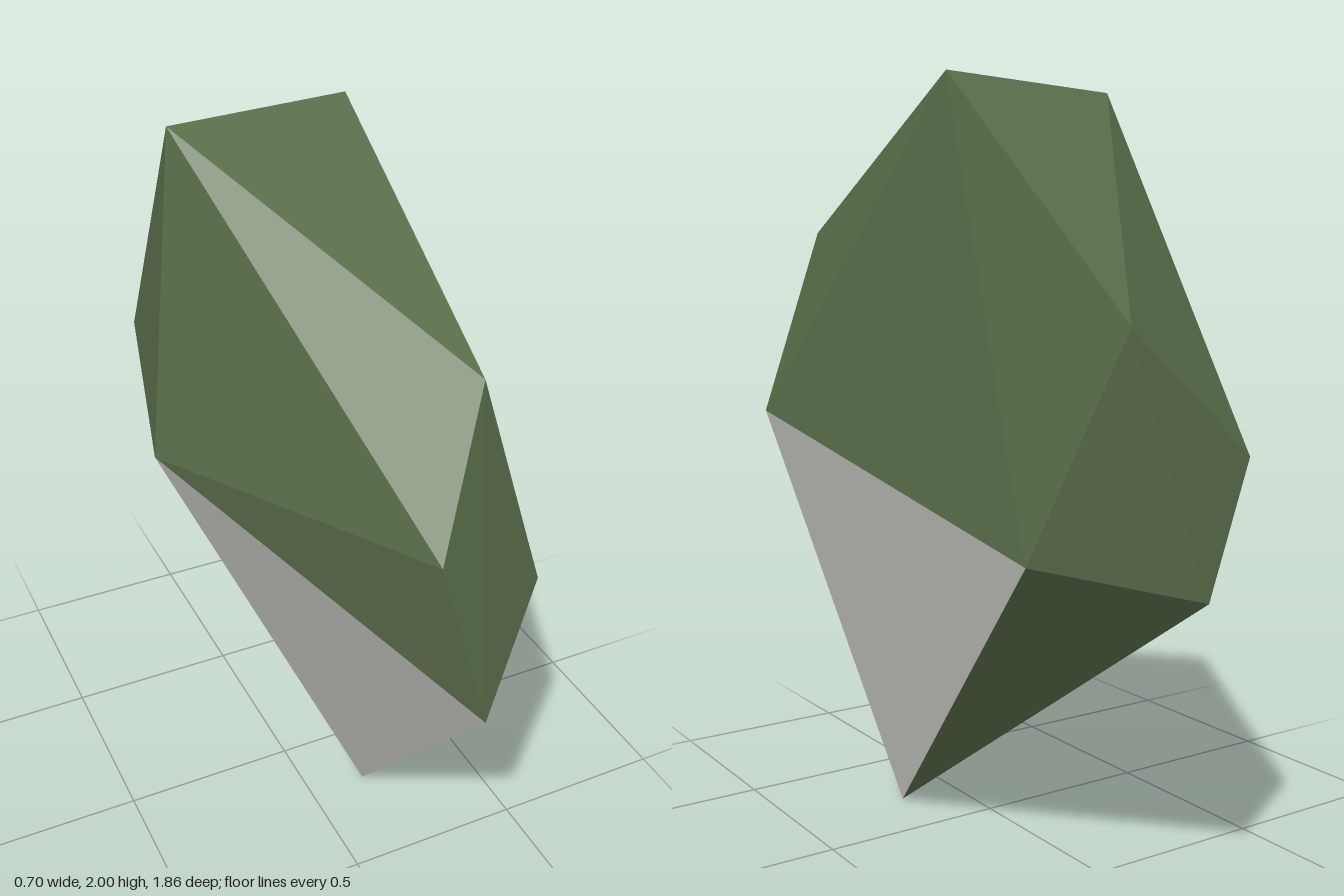
import * as THREE from 'three';

// Corner points of the faceted stone
const P = {
  tip: [0.17, 0, 0.2],
  frontLow: [0.08, 0.89, 0.93],
  frontLeft: [0.33, 1.09, 0.73],
  frontMid: [-0.01, 1.3, 0.84],
  frontHigh: [0.19, 1.62, 0.64],
  topLeft: [0.26, 2, -0.2],
  topRight: [-0.21, 1.97, -0.23],
  sideRight: [-0.35, 1.16, -0.05],
  backLeft: [0.35, 0.87, -0.67],
  backHigh: [0.23, 1.41, -0.88],
  backLow: [0.04, 0.8, -0.93],
  backRight: [-0.11, 1.11, -0.89],
};

const mossFacets = [
  // front
  'topRight topLeft frontHigh', 'topRight frontHigh frontMid',
  'frontMid frontHigh frontLow', 'frontHigh frontLeft frontLow',
  'frontLow frontLeft tip',
  // left flank
  'frontHigh topLeft frontLeft', 'topLeft frontLeft backLeft', 'topLeft backLeft backHigh',
  // back
  'topLeft topRight backHigh', 'topRight backHigh backRight',
  'backHigh backLeft backLow', 'backHigh backLow backRight', 'tip backLeft backLow',
  // right flank
  'topRight frontMid sideRight', 'frontMid frontLow sideRight', 'topRight sideRight backRight',
  'sideRight backRight backLow', 'sideRight backLow tip',
];
const bareFacets = ['tip frontLeft backLeft', 'tip frontLow sideRight'];

// Flat triangles, each turned to face away from the stone's centre
function facetGeometry(facets) {
  const centre = new THREE.Vector3(0, 1.1, 0);
  const positions = [];
  for (const facet of facets) {
    const [a, b, c] = facet.split(' ').map((n) => new THREE.Vector3(...P[n]));
    const normal = b.clone().sub(a).cross(c.clone().sub(a));
    const outward = normal.dot(a.clone().sub(centre)) > 0;
    for (const v of outward ? [a, b, c] : [a, c, b]) positions.push(v.x, v.y, v.z);
  }
  const g = new THREE.BufferGeometry();
  g.setAttribute('position', new THREE.Float32BufferAttribute(positions, 3));
  g.computeVertexNormals();
  return g;
}

export function createModel() {
  const mossGreen = new THREE.MeshStandardMaterial({ color: 0x586b48 });
  mossGreen.name = 'mossGreen';
  const stoneGrey = new THREE.MeshStandardMaterial({ color: 0xbebfb9 });
  stoneGrey.name = 'stoneGrey';

  const rock = new THREE.Group();
  rock.name = 'rock';
  const moss = new THREE.Mesh(facetGeometry(mossFacets), mossGreen);
  moss.name = 'mossyFacets';
  const bare = new THREE.Mesh(facetGeometry(bareFacets), stoneGrey);
  bare.name = 'bareStoneFacets';
  rock.add(moss, bare);
  return rock;
}
